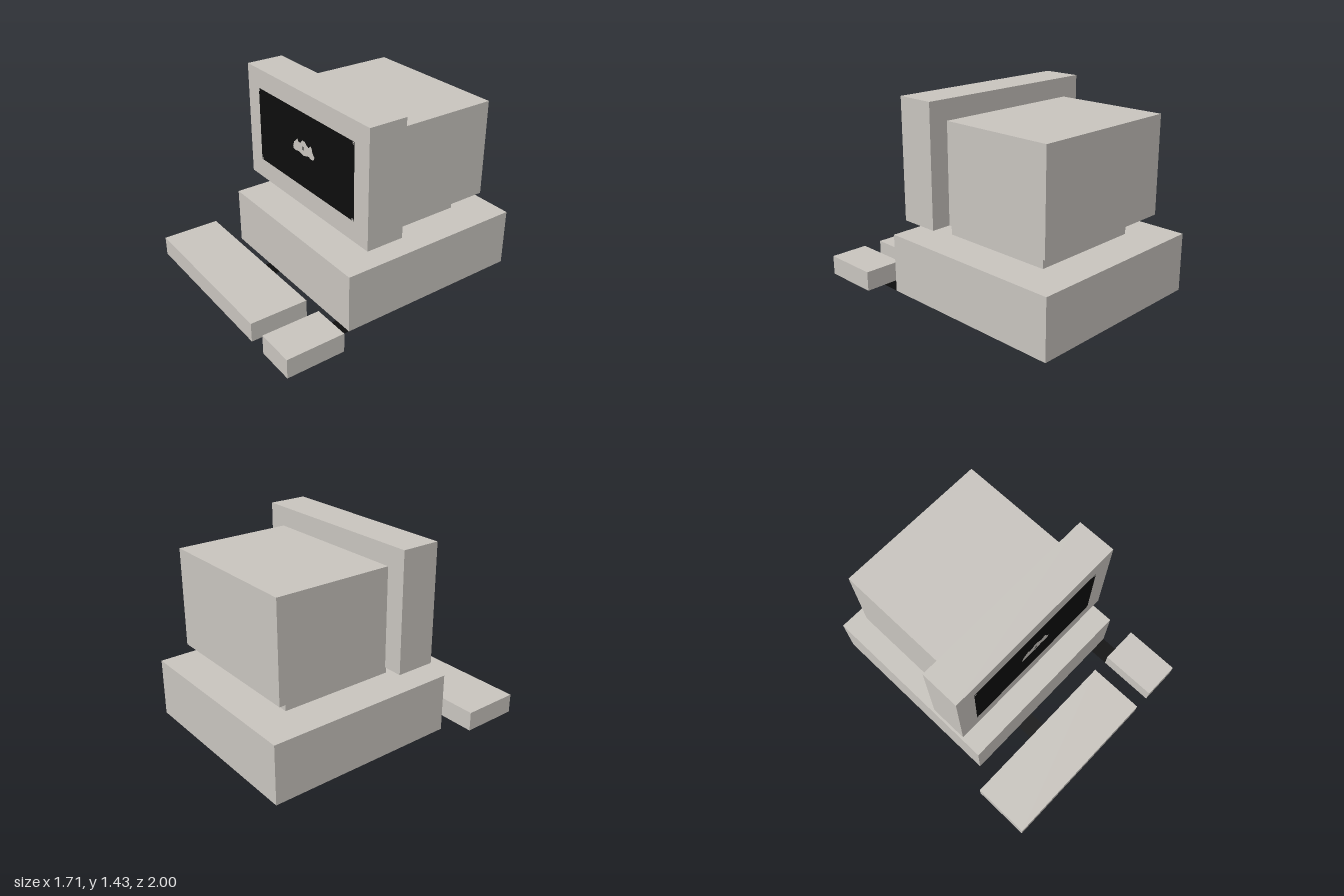
import * as THREE from 'three';

const U = 1 / 7; // modelling grid step

export function createModel() {
  const model = new THREE.Group();
  model.name = 'desktopComputer';

  const casing = new THREE.MeshStandardMaterial({ color: 0xc8c4be });
  casing.name = 'warm grey casing';
  const black = new THREE.MeshStandardMaterial({ color: 0x0d0d0d, side: THREE.DoubleSide });
  black.name = 'black';

  // Box given by its minimum and maximum corners, in grid steps
  function box(name, [x0, y0, z0], [x1, y1, z1]) {
    const geometry = new THREE.BoxGeometry((x1 - x0) * U, (y1 - y0) * U, (z1 - z0) * U);
    const mesh = new THREE.Mesh(geometry, casing);
    mesh.name = name;
    mesh.position.set((x0 + x1) * U / 2, (y0 + y1) * U / 2, (z0 + z1) * U / 2);
    model.add(mesh);
  }

  box('systemUnit', [-5, 0, -7], [5, 3, 3]);
  box('monitorStand', [-3, 3, -5], [3, 4, 1]);
  box('monitorFront', [-5, 4, 0], [5, 10, 2]);
  box('monitorBack', [-4, 4, -6], [4, 9, 0]);
  box('keyboard', [-6, 0, 4], [3, 1, 7]);
  box('mouse', [4, 0, 4], [6, 1, 7]);

  // Flat cables lying on the desk
  for (const [name, x] of [['keyboardCable', -1.5], ['mouseCable', 4.5]]) {
    const cable = new THREE.Mesh(new THREE.PlaneGeometry(U, U), black);
    cable.name = name;
    cable.rotation.x = -Math.PI / 2;
    cable.position.set(x * U, 0.001, 3.5 * U);
    model.add(cable);
  }

  // Flat face stacked in front of the monitor
  const front = 2 * U;
  function face(name, geometry, material, x, y, layer) {
    const mesh = new THREE.Mesh(geometry, material);
    mesh.name = name;
    mesh.position.set(x, y, front + layer * 0.002);
    model.add(mesh);
  }

  // Screen, with a small square and dot in each corner
  face('screen', new THREE.PlaneGeometry(1.136, 0.562), black, 0, 1.004, 1);
  for (const sx of [-1, 1]) {
    for (const sy of [-1, 1]) {
      const x = sx * 0.557, y = 1.004 + sy * 0.27;
      face('screenCorner', new THREE.PlaneGeometry(0.016, 0.016), casing, x, y, 2);
      face('screenCornerDot', new THREE.PlaneGeometry(0.007, 0.007), black, x, y, 3);
    }
  }

  // Small cloud picture with two dark bars
  const outline = [
    [-0.13, 1.0], [-0.125, 0.983], [-0.1, 0.975], [-0.06, 0.982], [-0.03, 0.975], [0, 0.97],
    [0.03, 0.977], [0.06, 0.985], [0.09, 0.974], [0.12, 0.98], [0.13, 1.005], [0.107, 1.03],
    [0.102, 1.055], [0.085, 1.074], [0.06, 1.05], [0.04, 1.06], [0.015, 1.08], [-0.015, 1.08],
    [-0.035, 1.055], [-0.06, 1.05], [-0.072, 1.072], [-0.092, 1.055], [-0.115, 1.035],
  ];
  const cloud = new THREE.Shape(outline.map(([x, y]) => new THREE.Vector2(x, y)));
  face('screenCloud', new THREE.ShapeGeometry(cloud), casing, 0, 0, 2);
  for (const x of [-0.007, 0.007]) {
    face('screenCloudBar', new THREE.PlaneGeometry(0.005, 0.028), black, x, 1.025, 3);
  }

  return model;
}
